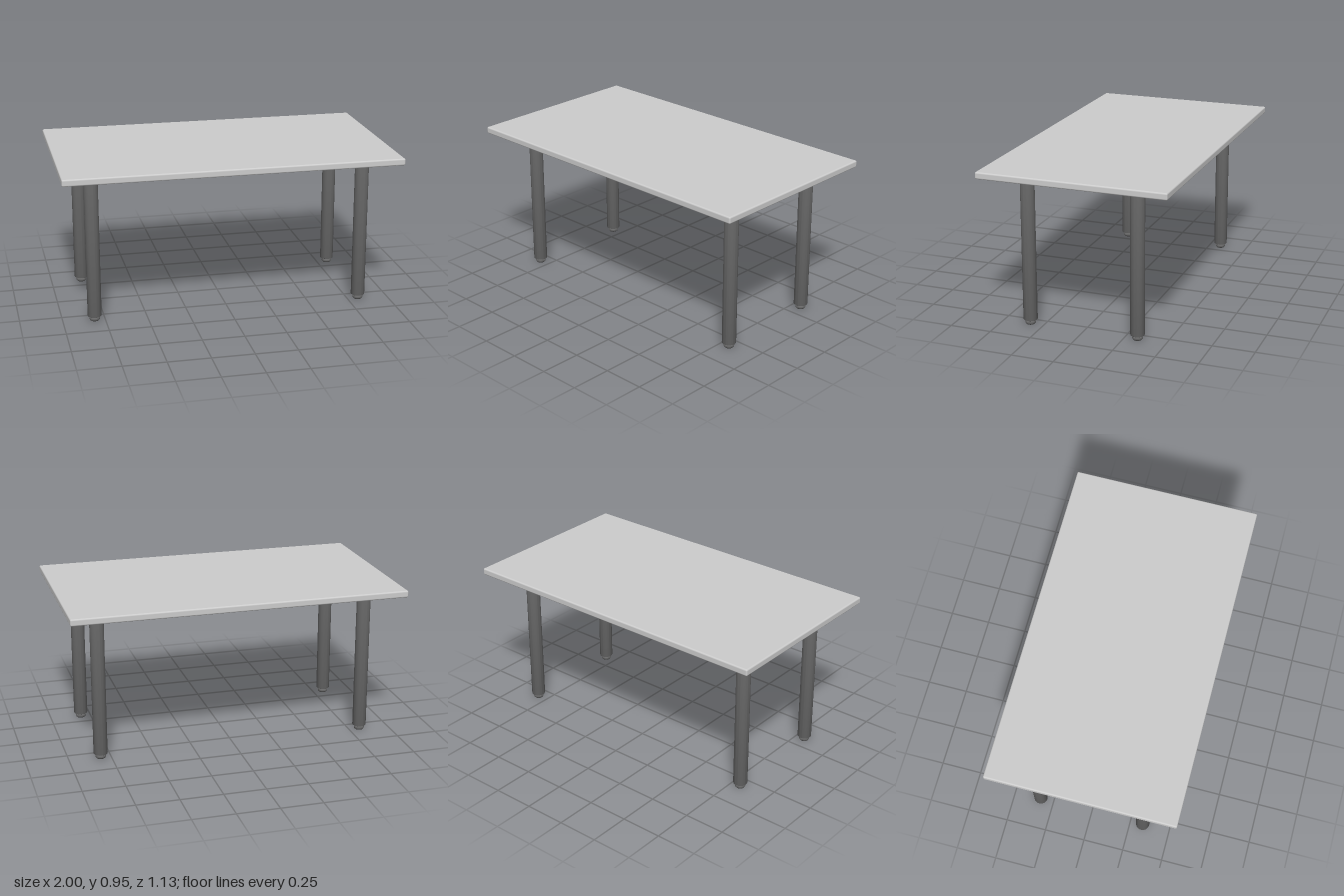
import * as THREE from 'three';
import { RoundedBoxGeometry } from 'three/addons/geometries/RoundedBoxGeometry.js';
import { toCreasedNormals } from 'three/addons/utils/BufferGeometryUtils.js';

const TOP_Y = 0.947, THICK = 0.041, UNDER_Y = TOP_Y - THICK;

function turned(points) {
  const profile = points.map(([r, y]) => new THREE.Vector2(r, y));
  return toCreasedNormals(new THREE.LatheGeometry(profile, 40), 0.7);
}

export function createModel() {
  const model = new THREE.Group();
  model.name = 'table';
  const lightGrey = new THREE.MeshStandardMaterial({ color: 0xcccccc });
  lightGrey.name = 'light grey top';
  const darkGrey = new THREE.MeshStandardMaterial({ color: 0x666666 });
  darkGrey.name = 'dark grey legs';

  // Slab with softened edges
  const top = new THREE.Mesh(new RoundedBoxGeometry(2, THICK, 1.126, 4, 0.009), lightGrey);
  top.name = 'tableTop';
  top.position.y = TOP_Y - THICK / 2;
  model.add(top);

  // Round leg, eased at both ends
  const legGeometry = turned([
    [0, 0.03], [0.038, 0.03], [0.0405, 0.0315], [0.0415, 0.035],
    [0.0415, UNDER_Y - 0.006], [0.0405, UNDER_Y - 0.002], [0.038, UNDER_Y], [0, UNDER_Y],
  ]);

  // Levelling foot: bulged pad below a short neck
  const footGeometry = turned([
    [0, 0], [0.018, 0], [0.024, 0.002], [0.029, 0.007], [0.031, 0.013],
    [0.031, 0.018], [0.029, 0.022], [0.027, 0.024], [0.027, 0.031], [0, 0.031],
  ]);

  for (const x of [-1, 1]) {
    for (const z of [-1, 1]) {
      const leg = new THREE.Group();
      leg.name = (z > 0 ? 'front' : 'back') + (x > 0 ? 'Left' : 'Right') + 'Leg';
      const post = new THREE.Mesh(legGeometry, darkGrey);
      post.name = 'legPost';
      const foot = new THREE.Mesh(footGeometry, darkGrey);
      foot.name = 'levellingFoot';
      leg.add(post, foot);
      leg.position.set(x * 0.813, 0, z * 0.33);
      model.add(leg);
    }
  }
  return model;
}
